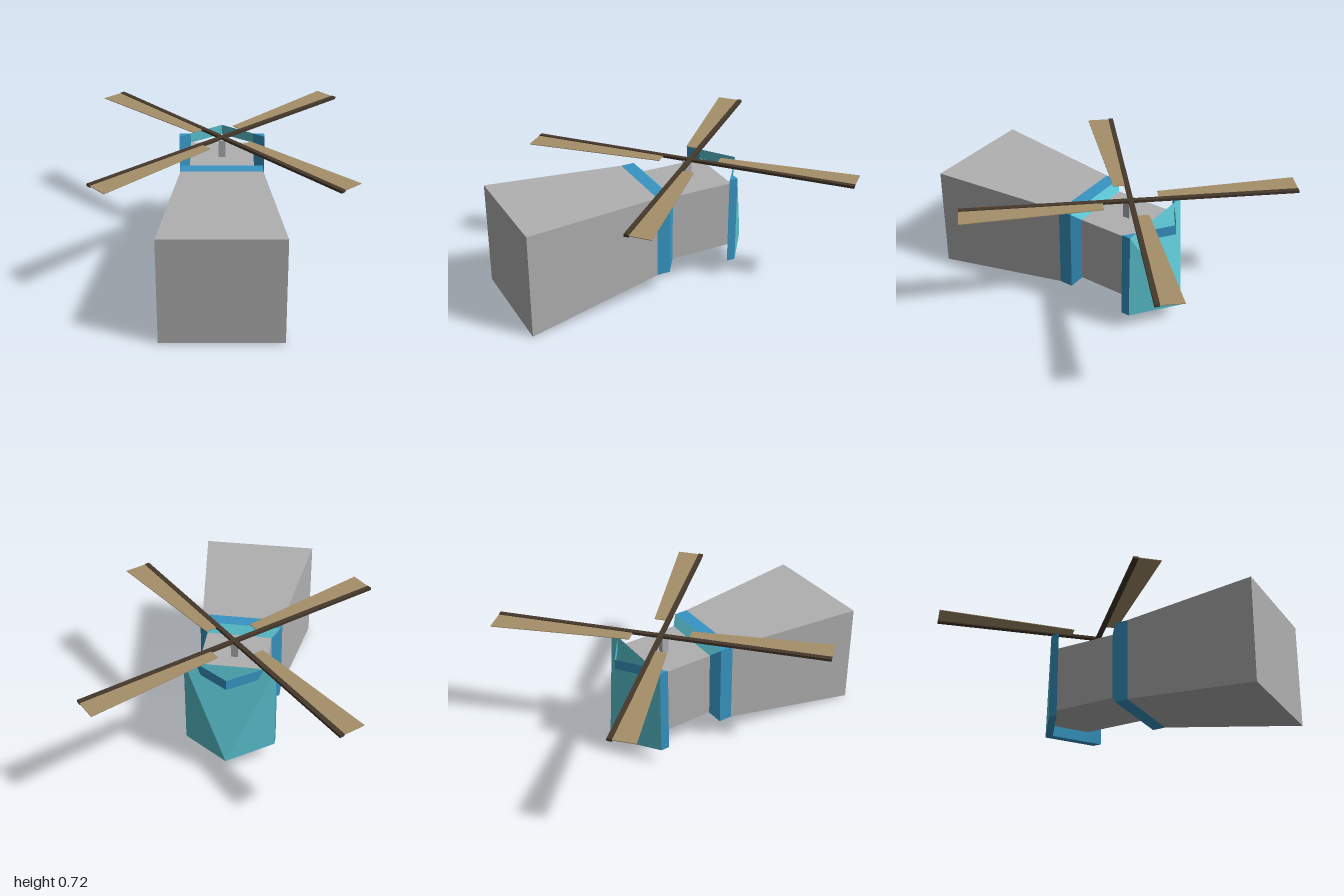
import * as THREE from 'three';

const material = (name, color) => {
  const m = new THREE.MeshStandardMaterial({ color });
  m.name = name;
  return m;
};

// Mesh made of flat convex polygons, corners counter-clockwise from outside
function facets(name, mat, polygons) {
  const pos = [];
  for (const p of polygons)
    for (let i = 1; i < p.length - 1; i++) pos.push(...p[0], ...p[i], ...p[i + 1]);
  const g = new THREE.BufferGeometry();
  g.setAttribute('position', new THREE.Float32BufferAttribute(pos, 3));
  g.computeVertexNormals();
  const mesh = new THREE.Mesh(g, mat);
  mesh.name = name;
  return mesh;
}

const mirrorX = (p) => p.map(([x, y, z]) => [-x, y, z]).reverse();
const both = (...polys) => polys.flatMap((p) => [p, mirrorX(p)]);

// Rectangular cross-section at a given z, and the four walls between two of them
const section = (z, x, y0, y1) => [[-x, y0, z], [x, y0, z], [x, y1, z], [-x, y1, z]];
const walls = (a, b) => a.map((_, i) => [a[i], b[i], b[(i + 1) % 4], a[(i + 1) % 4]]);

export function createModel() {
  const stone = material('stone grey', 0xb0b0b0);
  const teal = material('teal', 0x58bfcc);
  const blue = material('blue', 0x3795c2);
  const cloth = material('sail tan', 0xa58f69);
  const wood = material('dark wood', 0x45372a);

  const model = new THREE.Group();
  model.name = 'windmill';

  // Tower lying on its back: wide base at +z, roof at -z
  const base = section(1, 0.355, 0, 0.655);
  const waist = section(0.145, 0.248, 0.12, 0.645);
  const collarEnd = section(0.06, 0.248, 0.12, 0.645);
  const neck = section(0.015, 0.197, 0.175, 0.6);
  const head = section(-0.385, 0.197, 0.175, 0.6);
  model.add(facets('lowerTower', stone, [base, ...walls(base, waist)]));
  model.add(facets('upperTower', stone, [...walls(neck, head), [...head].reverse()]));

  // Collar: straight band, then a chamfer
  const chamfer = walls(collarEnd, neck);
  model.add(facets('collarBand', blue, [...walls(waist, collarEnd), chamfer[1], chamfer[3]]));
  model.add(facets('collarChamfer', teal, [chamfer[0], chamfer[2]]));

  // Gable ends of the upper tower
  const gable = (y) => [[-0.2, y, -0.385], [0, y, -0.525], [0.2, y, -0.385]];
  model.add(facets('gables', stone, [gable(0.6), gable(0.175)]));

  // Roof: hip slope and two side slopes
  const X = 0.27, Y0 = 0.105, Y1 = 0.665, Z0 = -0.33, Z1 = -0.385;
  const peak = [0, Y0, -0.58];
  model.add(facets('roofSlopes', teal, [
    [[-X, Y1, Z1], [X, Y1, Z1], peak],
    ...both([[X, Y0, Z1], peak, [X, Y1, Z1]]),
  ]));

  // Eaves: outer edge, underside, top end and rear verge
  model.add(facets('eaves', blue, both(
    [[X, Y0, Z0], [X, Y0, Z1], [X, Y1, Z1], [X, Y1, Z0]],
    [[0.2, Y0, Z1], [X, Y0, Z0], [X, Y1, Z0], [0.2, Y1, Z1]],
    [[X, Y1, Z0], [X, Y1, Z1], [0.2, Y1, Z1]],
    [[X, Y0, Z0], [0, Y0, -0.525], peak, [X, Y0, Z1]],
  )));

  // Peaked boards under the roof, teal inside and blue outside
  const board = (y0, y1) => [[0, y0, -0.525], [0.2, y0, Z1], [0.2, y1, Z1], [0, y1, -0.525]];
  model.add(facets('frontBoardInside', teal, both(board(0.6, Y1))));
  model.add(facets('frontBoardOutside', blue, both(board(0.6, Y1).reverse())));
  model.add(facets('rearBoard', blue, both(board(Y0, 0.175))));

  // Axle
  const axle = new THREE.Mesh(new THREE.BoxGeometry(0.042, 0.115, 0.042), stone);
  axle.name = 'axle';
  axle.position.set(0, 0.652, -0.185);
  model.add(axle);

  // Sails: two crossed spars carrying four tapered sails
  const rotor = new THREE.Group();
  rotor.name = 'rotor';
  rotor.position.set(0, 0.715, -0.205);
  rotor.rotation.y = THREE.MathUtils.degToRad(42);
  const sailShape = new THREE.Shape([[0.17, 0], [1.02, 0], [1.02, 0.15], [0.17, 0.085]]
    .map(([x, y]) => new THREE.Vector2(x, y)));
  const sailGeo = new THREE.ExtrudeGeometry(sailShape, { depth: 0.004, bevelEnabled: false });
  sailGeo.rotateX(-Math.PI / 2);
  const sparGeo = new THREE.BoxGeometry(1.02, 0.016, 0.03);
  sparGeo.translate(0.51, 0, 0);
  for (let i = 0; i < 4; i++) {
    const arm = new THREE.Group();
    arm.name = 'arm';
    arm.rotation.y = (i * Math.PI) / 2;
    const spar = new THREE.Mesh(sparGeo, wood);
    spar.name = 'spar';
    const sail = new THREE.Mesh(sailGeo, cloth);
    sail.name = 'sail';
    arm.add(spar, sail);
    rotor.add(arm);
  }
  model.add(rotor);
  return model;
}
